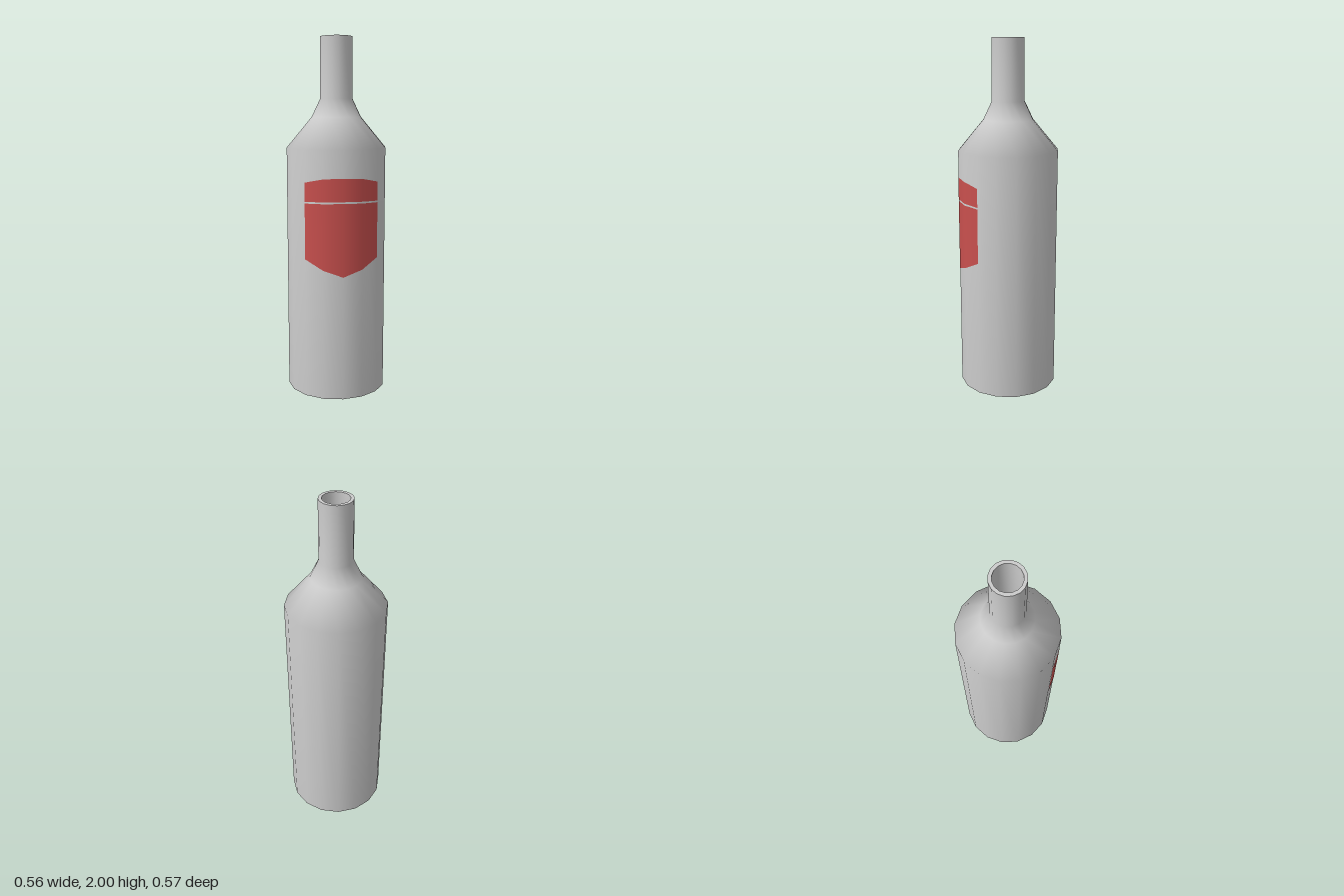
import * as THREE from 'three';

const SIDES = 16;
const RADIUS = 0.282;

// Ring of the bottle from a list of [radius, height] points
function lathe(name, points, material) {
  const profile = points.map(([r, y]) => new THREE.Vector2(r, y));
  const mesh = new THREE.Mesh(new THREE.LatheGeometry(profile, SIDES), material);
  mesh.name = name;
  return mesh;
}

// Label band hugging the front facets; top and bottom give the heights from middle to edge
function labelBand(name, top, bottom, material) {
  const position = [], normal = [], index = [];
  for (let i = -2; i <= 2; i++) {
    const a = (i / SIDES) * Math.PI * 2;
    const s = Math.sin(a), c = Math.cos(a), r = RADIUS + 0.0015;
    for (const y of [bottom[Math.abs(i)], top[Math.abs(i)]]) {
      position.push(r * s, y, r * c);
      normal.push(s, 0, c);
    }
    if (i < 2) {
      const k = (i + 2) * 2;
      index.push(k, k + 2, k + 3, k, k + 3, k + 1);
    }
  }
  const geometry = new THREE.BufferGeometry();
  geometry.setAttribute('position', new THREE.Float32BufferAttribute(position, 3));
  geometry.setAttribute('normal', new THREE.Float32BufferAttribute(normal, 3));
  geometry.setIndex(index);
  const mesh = new THREE.Mesh(geometry, material);
  mesh.name = name;
  return mesh;
}

export function createModel() {
  const bottle = new THREE.Group();
  bottle.name = 'bottle';
  const grey = new THREE.MeshStandardMaterial({ color: 0xcccccc });
  const red = new THREE.MeshStandardMaterial({ color: 0xc9504e, side: THREE.DoubleSide });

  // Outer skin: base, straight body, shoulder and neck
  bottle.add(lathe('base', [[0, 0], [RADIUS, 0]], grey));
  bottle.add(lathe('body', [
    [RADIUS, 0], [RADIUS, 1.39], [0.14, 1.56], [0.092, 1.66], [0.09, 2],
  ], grey));

  // Mouth rim and hollow inside
  bottle.add(lathe('rim', [[0.09, 2], [0.072, 2]], grey));
  bottle.add(lathe('inside', [
    [0.072, 2], [0.072, 1.66], [0.12, 1.55], [RADIUS - 0.02, 1.38], [RADIUS - 0.02, 0.02],
  ], grey));
  bottle.add(lathe('insideFloor', [[RADIUS - 0.02, 0.02], [0, 0.02]], grey));

  // Label in two parts with a thin gap between them
  bottle.add(labelBand('upperLabel', [1.24, 1.235, 1.213], [1.114, 1.112, 1.108], red));
  bottle.add(labelBand('lowerLabel', [1.104, 1.102, 1.099], [0.7, 0.737, 0.79], red));
  return bottle;
}
